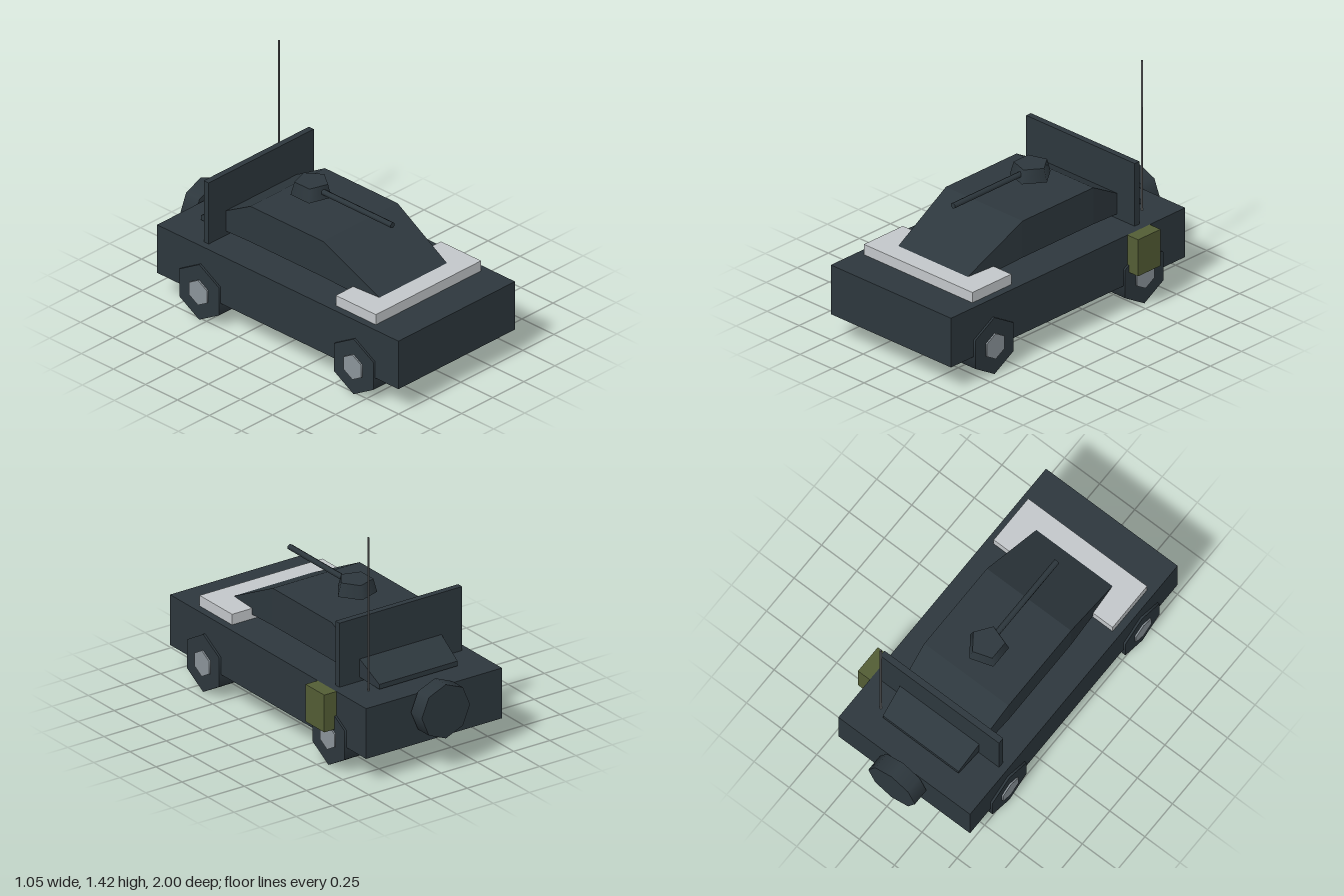
import * as THREE from 'three';

const CX = -0.033; // centre line of the hull

function material(name, color) {
  const m = new THREE.MeshStandardMaterial({ color });
  m.name = name;
  return m;
}

export function createModel() {
  const group = new THREE.Group();
  const dark = material('dark slate', 0x2d373d);
  const pale = material('pale grey', 0xc3c7ca);
  const steel = material('steel grey', 0x8b949a);
  const olive = material('olive green', 0x535d35);
  const wire = material('antenna grey', 0x6c6e70);

  function add(name, geometry, mat, x, y, z) {
    const mesh = new THREE.Mesh(geometry, mat);
    mesh.name = name;
    mesh.position.set(x, y, z);
    group.add(mesh);
    return mesh;
  }
  // Box given by its limits on each axis
  function box(name, mat, [x0, x1], [y0, y1], [z0, z1]) {
    return add(name, new THREE.BoxGeometry(x1 - x0, y1 - y0, z1 - z0), mat,
      (x0 + x1) / 2, (y0 + y1) / 2, (z0 + z1) / 2);
  }

  // Hull, front plate, rear shield and side canister
  box('hull', dark, [-0.502, 0.436], [0.165, 0.475], [-0.885, 1]);
  box('frontPlate', pale, [-0.457, 0.39], [0.475, 0.54], [0.467, 0.78]);
  box('rearShield', dark, [-0.457, 0.39], [0.475, 0.87], [-0.564, -0.526]);
  box('canister', olive, [0.436, 0.52], [0.245, 0.475], [-0.6, -0.42]);

  // Cabin: a box in three lengths, shaped by [z, half width, bottom, top]
  const sections = [
    [-0.735, 0.27, 0.485, 0.515],
    [-0.32, 0.3, 0.52, 0.75],
    [0.248, 0.3, 0.52, 0.75],
    [0.71, 0.268, 0.482, 0.515],
  ];
  let cabin = new THREE.BoxGeometry(2, 2, 3, 1, 1, 3);
  const p = cabin.attributes.position;
  for (let i = 0; i < p.count; i++) {
    const [z, half, bottom, top] = sections[Math.round(p.getZ(i) + 1.5)];
    p.setXYZ(i, p.getX(i) * half, p.getY(i) > 0 ? top : bottom, z);
  }
  cabin = cabin.toNonIndexed();
  cabin.computeVertexNormals();
  add('cabin', cabin, dark, CX, 0, 0);

  // Five-sided turret and its gun
  const turret = new THREE.CylinderGeometry(0.1, 0.122, 0.08, 5, 1, false, Math.PI / 2);
  add('turret', turret, dark, CX, 0.83, -0.13);
  const gun = new THREE.CylinderGeometry(0.018, 0.018, 0.56, 6).rotateX(Math.PI / 2);
  add('gun', gun, dark, CX, 0.831, 0.22);

  // Four hexagonal wheels with hubs
  const wheel = (r, w) => new THREE.CylinderGeometry(r, r, w, 6, 1, false, Math.PI / 6)
    .rotateZ(Math.PI / 2);
  const tyre = wheel(0.178, 0.125);
  const hub = wheel(0.08, 0.145);
  for (const side of [-1, 1]) {
    for (const z of [0.663, -0.543]) {
      add('tyre', tyre, dark, CX + side * 0.42, 0.182, z);
      add('hub', hub, steel, CX + side * 0.42, 0.182, z);
    }
  }

  // Spare wheel behind the hull
  const spare = new THREE.CylinderGeometry(0.166, 0.166, 0.105, 8).rotateX(Math.PI / 2);
  add('spareWheel', spare, dark, CX, 0.375, -0.947);

  // Antenna
  add('antenna', new THREE.CylinderGeometry(0.006, 0.006, 0.945, 6), wire, 0.283, 0.947, -0.695);

  return group;
}
